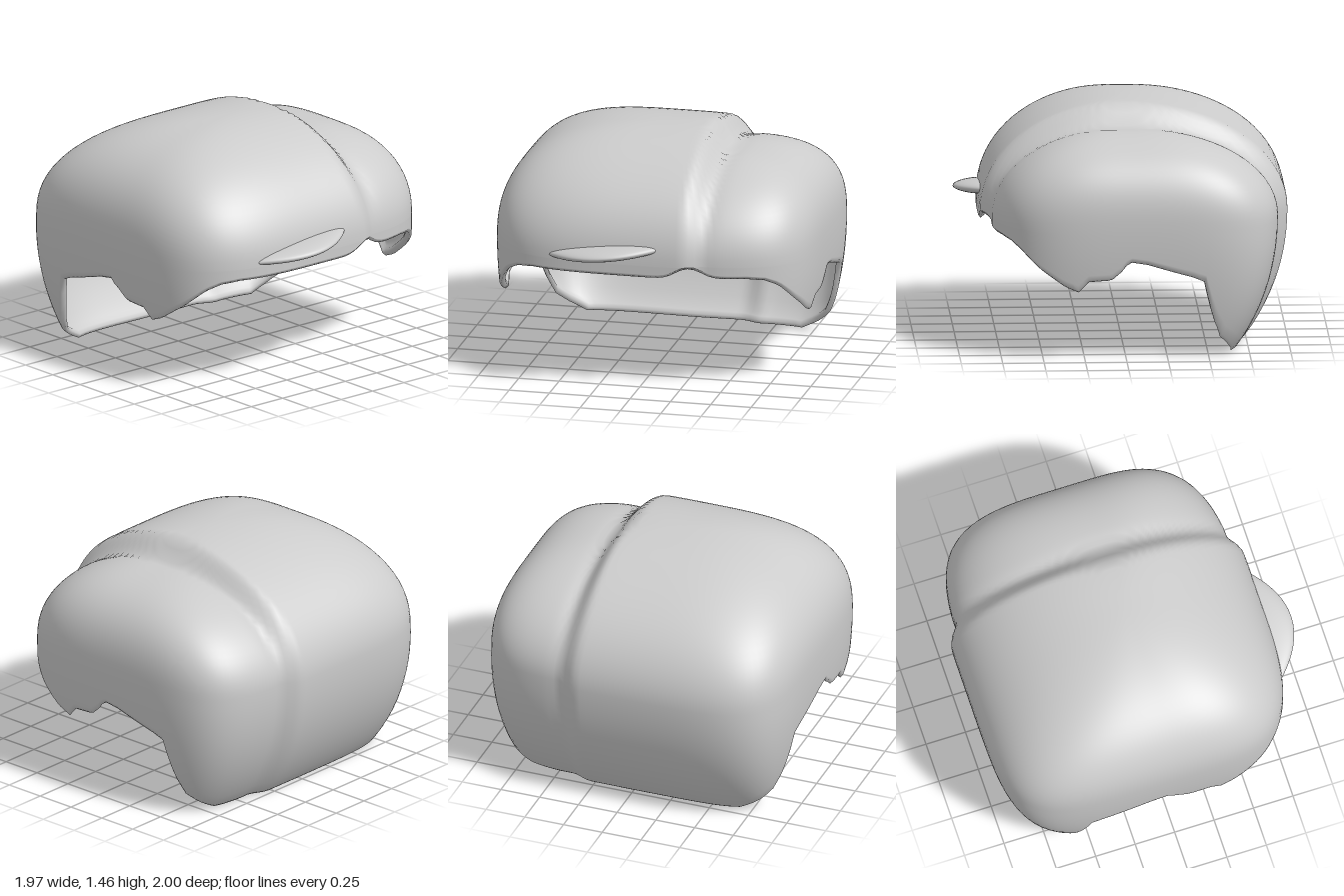
import * as THREE from 'three';

const SEG = 180, TOP_ROWS = 28, SIDE_ROWS = 12;
const MID = 0.8; // height of the widest level

// rim height by bearing in degrees: -90 back, 0 side, 90 front
const RIM = [
  [-90, 0], [-50, 0.005], [-44, 0.06], [-38, 0.125], [-33, 0.25], [-28, 0.46], [-24, 0.49],
  [-8, 0.57], [-2, 0.585], [2, 0.55], [6.5, 0.495], [16, 0.485], [20, 0.42], [25, 0.45],
  [35, 0.56], [43, 0.67], [48, 0.71], [54, 0.725], [90, 0.725],
];

const smooth = (a, b, x) => THREE.MathUtils.smoothstep(x, a, b);

function rimHeight(deg) {
  for (let i = 1; i < RIM.length; i++) {
    const [d0, y0] = RIM[i - 1], [d1, y1] = RIM[i];
    if (deg <= d1) return y0 + (y1 - y0) * (deg - d0) / (d1 - d0);
  }
  return RIM[RIM.length - 1][1];
}

// Point on the rounded, boxy dome. s: 0 crown, 1 widest level, 2 rim.
function domePoint(theta, s, inset, lift) {
  const c = Math.cos(theta), w = Math.sin(theta);
  const front = w > 0;
  const deg = THREE.MathUtils.radToDeg(Math.atan2(w, Math.abs(c)));
  let X = 0.985 - inset, Z = (front ? 0.86 : 1.0) - inset, y;
  let m = front ? 3.6 : 4.7;
  if (s <= 1) {
    const v = Math.cos((Math.PI / 2) * Math.pow(s, 1.3));
    X *= Math.pow(Math.max(0, 1 - Math.pow(v, 2.6)), 1 / 2.6);
    Z *= Math.sqrt(Math.max(0, 1 - v * v));
    m = 3.1 + (m - 3.1) * (1 - v * v);
    y = MID + (0.66 - inset) * v;
  } else {
    let rim = rimHeight(deg) + lift;
    const rx = Math.abs(w) > 0.5 ? c / Math.abs(w) : 9;
    if (front) rim += 0.065 * Math.exp(-(((rx - 0.32) / 0.1) ** 2)); // notch under the parting
    else rim += 0.02 * smooth(0.27, 0.41, rx) * smooth(-30, -50, deg);
    y = MID + (rim - MID) * (s - 1);
    const below = MID - y;
    X *= Math.sqrt(1 - (below / 1.6) ** 2);
    if (!front) {
      Z *= Math.sqrt(1 - (below / 1.16) ** 2);
      m += 1.2 * below; // squarer corners at the nape
    }
  }
  const r = 1 / Math.pow(Math.abs(c) ** m + Math.abs(w) ** m, 1 / m);
  const x = X * r * c;
  let z = Z * r * w;
  // the side past the parting sits lower and further in
  const k = smooth(0.27, 0.41, x);
  const dip = 0.01 * Math.exp(-(((x - 0.4) / 0.05) ** 2));
  y -= (k * (0.11 - 0.14 * (x - 0.4)) + dip) * Math.max(0, (y - MID) / 0.66);
  z *= 1 - 0.06 * k - dip * 0.6;
  return [x, y, z];
}

// Thin closed shell: outside crown to rim, round a thicker lip, inside rim to crown
function shellGeometry() {
  const levels = [];
  for (let i = 0; i <= TOP_ROWS; i++) levels.push(i / TOP_ROWS);
  for (let i = 1; i <= SIDE_ROWS; i++) levels.push(1 + i / SIDE_ROWS);
  const rows = [ // [level, inset, rim lift]
    ...levels.map((s) => [s, 0, 0.015]),
    [2, 0.012, 0], [2, 0.035, 0.02], [2, 0.035, 0.04],
    ...levels.slice().reverse().map((s) => [s, 0.015, 0.06]),
  ];
  const pos = [], index = [];
  for (const [s, inset, lift] of rows)
    for (let j = 0; j < SEG; j++) pos.push(...domePoint((j / SEG) * Math.PI * 2, s, inset, lift));
  for (let i = 0; i < rows.length - 1; i++)
    for (let j = 0; j < SEG; j++) {
      const a = i * SEG + j, b = i * SEG + (j + 1) % SEG;
      if (i > 0) index.push(a, b, a + SEG);
      if (i < rows.length - 2) index.push(b, b + SEG, a + SEG);
    }
  const g = new THREE.BufferGeometry();
  g.setAttribute('position', new THREE.Float32BufferAttribute(pos, 3));
  g.setIndex(index);
  g.computeVertexNormals();
  return g;
}

// Flat lens with pointed ends, shallower behind than in front
function lockGeometry() {
  const g = new THREE.SphereGeometry(1, 48, 24);
  const p = g.attributes.position;
  for (let i = 0; i < p.count; i++) {
    const x = p.getX(i), z = p.getZ(i);
    p.setZ(i, z * Math.sqrt(Math.max(0, 1 - x * x)) * (z < 0 ? 0.6 : 1));
  }
  g.scale(0.345, 0.042, 0.17);
  g.computeVertexNormals();
  return g;
}

export function createModel() {
  const group = new THREE.Group();
  group.name = 'hairCap';
  const grey = new THREE.MeshStandardMaterial({ color: 0xcccccc });
  grey.name = 'grey';

  const shell = new THREE.Mesh(shellGeometry(), grey);
  shell.name = 'hairShell';
  group.add(shell);

  // lock passing through the front wall
  const lock = new THREE.Mesh(lockGeometry(), grey);
  lock.name = 'frontLock';
  lock.position.set(-0.2, 0.86, 0.83);
  lock.rotation.z = 0.11;
  group.add(lock);

  return group;
}
